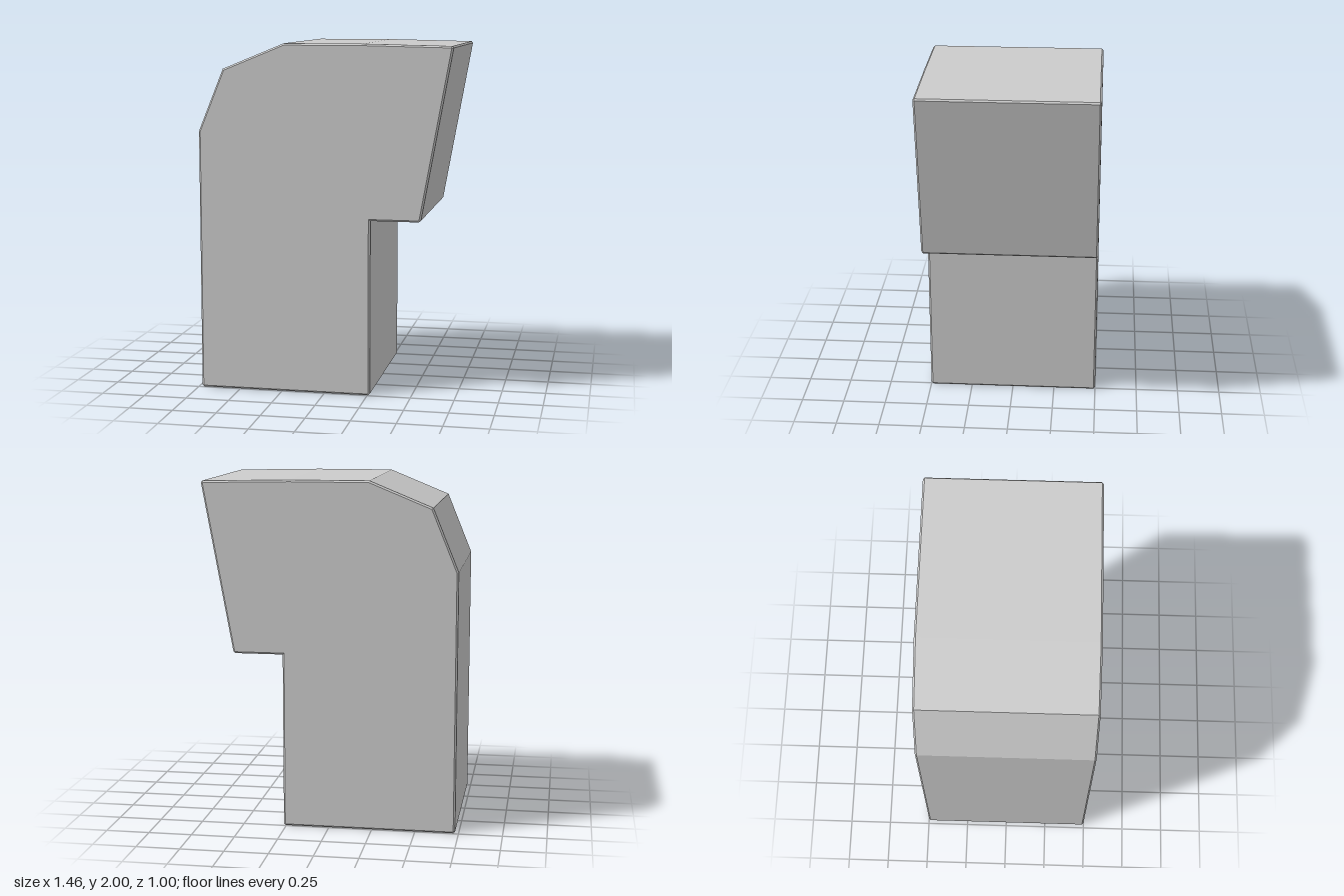
import * as THREE from 'three';

const BEVEL = 0.01;

// Side outline, counter-clockwise; a true flag trims that corner slightly.
const OUTLINE = [
  [-0.73, 0, true], [0.265, 0, true], [0.265, 1.01, false], [0.55, 1.01, true],
  [0.727, 1.99, true], [0.22, 2, false], [-0.23, 2, false], [-0.585, 1.855, false], [-0.73, 1.5, false],
];

function outlineShape() {
  const corners = OUTLINE.map(([x, y]) => new THREE.Vector2(x, y));
  const n = corners.length;
  const points = [];
  corners.forEach((p, i) => {
    if (!OUTLINE[i][2]) return points.push(p);
    for (const neighbour of [corners[(i + n - 1) % n], corners[(i + 1) % n]]) {
      points.push(neighbour.clone().sub(p).setLength(BEVEL).add(p));
    }
  });
  return new THREE.Shape(points);
}

// Drops the triangles lying on the ground, leaving the bottom open.
function openBottom(geometry) {
  const source = geometry.attributes.position;
  const kept = [];
  for (let i = 0; i < source.count; i += 3) {
    const ids = [i, i + 1, i + 2];
    if (ids.every((j) => source.getY(j) < 0.001)) continue;
    for (const j of ids) kept.push(source.getX(j), source.getY(j), source.getZ(j));
  }
  const result = new THREE.BufferGeometry();
  result.setAttribute('position', new THREE.Float32BufferAttribute(kept, 3));
  result.computeVertexNormals();
  return result;
}

export function createModel() {
  const group = new THREE.Group();
  group.name = 'ventilationCowl';

  // Hollow hood: upright duct with a forward-leaning closed mouth
  const depth = 1 - 2 * BEVEL;
  const hood = new THREE.ExtrudeGeometry(outlineShape(), {
    depth,
    bevelEnabled: true,
    bevelThickness: BEVEL,
    bevelSize: BEVEL,
    bevelOffset: -BEVEL,
    bevelSegments: 1,
  });
  hood.translate(0, 0, -depth / 2);

  const material = new THREE.MeshStandardMaterial({ color: 0xcccccc, flatShading: true, side: THREE.DoubleSide });
  const mesh = new THREE.Mesh(openBottom(hood), material);
  mesh.name = 'ductHood';
  group.add(mesh);
  return group;
}
